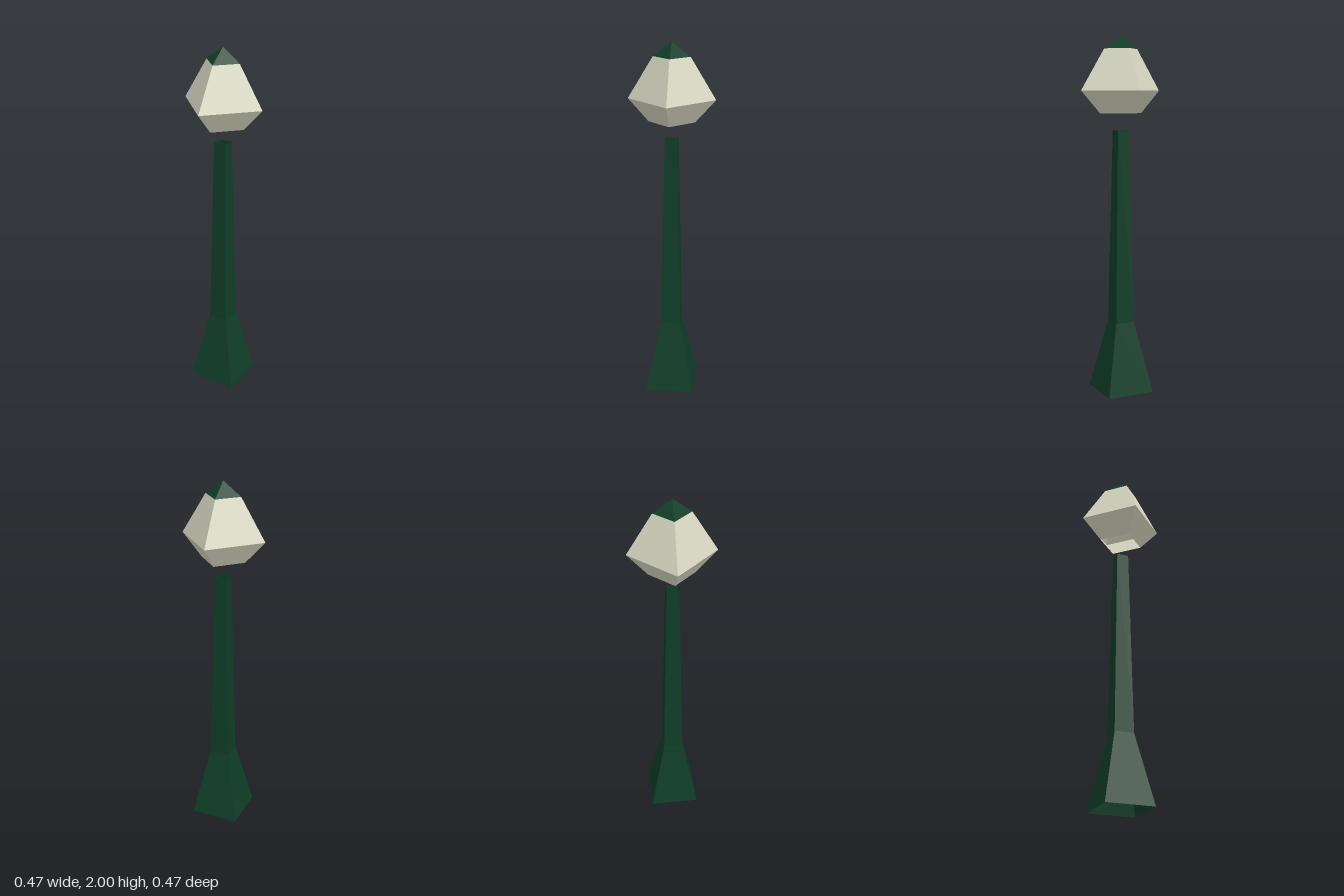
import * as THREE from 'three';

const material = (name, color) => new THREE.MeshStandardMaterial({
  name, color, flatShading: true, side: THREE.DoubleSide,
});

// Four-sided open shell from [radius, height] pairs, listed bottom to top
function shell(name, profile, mat, turn = 0) {
  const points = profile.map(([r, y]) => new THREE.Vector2(r, y));
  const mesh = new THREE.Mesh(new THREE.LatheGeometry(points, 4, turn), mat);
  mesh.name = name;
  return mesh;
}

export function createModel() {
  const green = material('dark green paint', 0x0f3d28);
  const glass = material('pale lamp glass', 0xd6d6c1);
  const model = new THREE.Group();
  model.name = 'streetLamp';

  // Post: square to the axes, so half-widths become corner radii
  const corner = (halfWidth, y) => [halfWidth * Math.SQRT2, y];
  const post = [corner(0.137, 0), corner(0.055, 0.4), corner(0.034, 1.483)];
  model.add(shell('post', post, green, Math.PI / 4));

  // Lantern: turned corner-on, open below, floating above the post
  model.add(shell('lantern', [[0.126, 1.577], [0.237, 1.7], [0.1, 1.925]], glass));

  // Cap: small pyramid closing the lantern
  model.add(shell('cap', [[0.1, 1.925], [0, 2]], green));
  return model;
}
